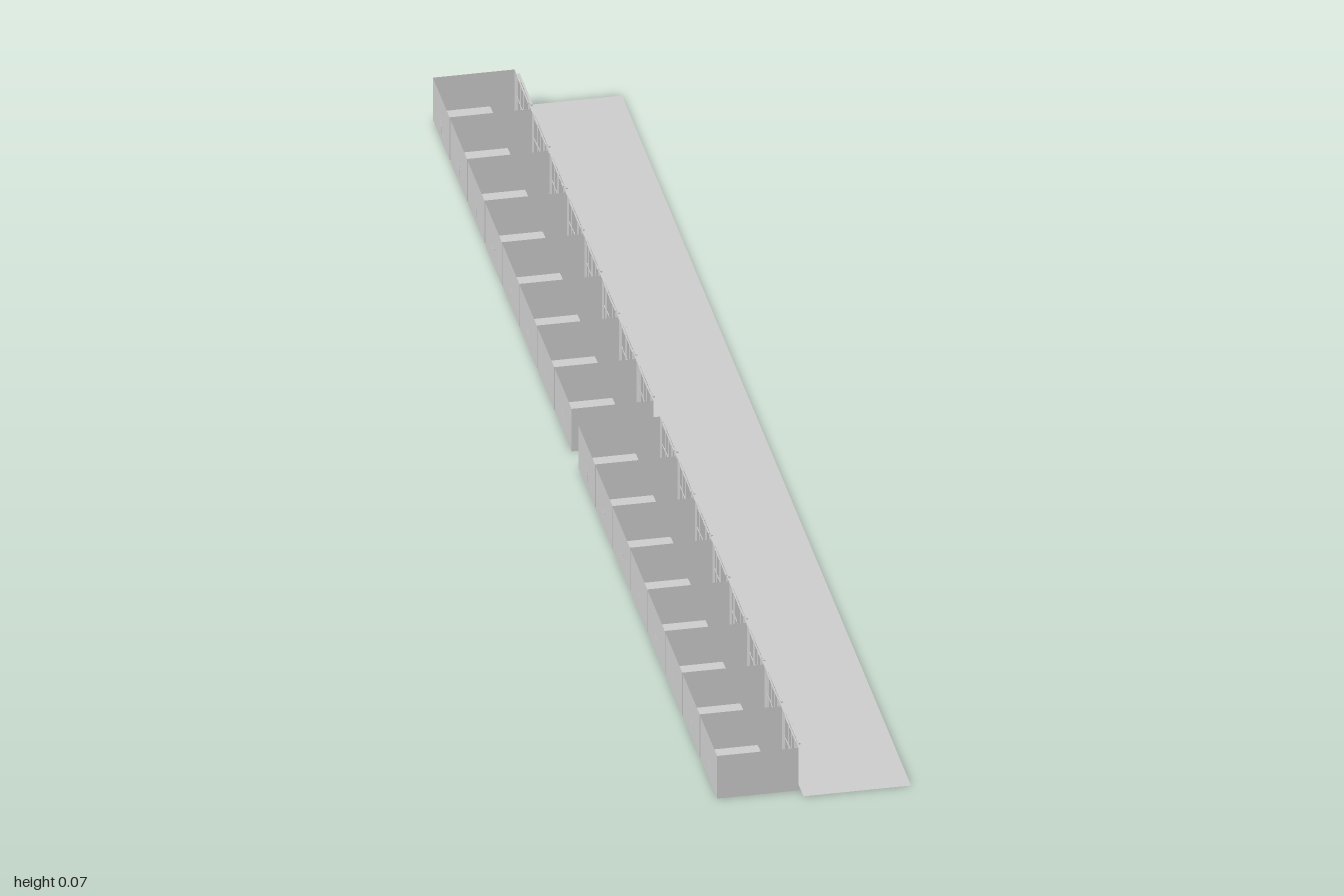
import * as THREE from 'three';

const material = new THREE.MeshStandardMaterial({ color: 0xcccccc, flatShading: true, side: THREE.DoubleSide });

// Cell dimensions
const BACK = -0.136, FRONT = -0.02, HEIGHT = 0.068, WIDTH = 0.115, PITCH = 0.1207;
const DEPTH = FRONT - BACK, MID = (FRONT + BACK) / 2;

function add(parent, name, geometry, x, y, z, rx = 0, ry = 0, rz = 0) {
  const mesh = new THREE.Mesh(geometry, material);
  mesh.name = name;
  mesh.position.set(x, y, z);
  mesh.rotation.set(rx, ry, rz);
  parent.add(mesh);
  return mesh;
}
const box = (w, h, d) => new THREE.BoxGeometry(w, h, d);

// Shared geometries
const floorGeo = new THREE.PlaneGeometry(DEPTH, WIDTH);
const sideGeo = new THREE.PlaneGeometry(DEPTH, HEIGHT);
const backGeo = new THREE.PlaneGeometry(WIDTH, HEIGHT);
const pierGeo = new THREE.PlaneGeometry(0.018, HEIGHT);
const barGeo = new THREE.CylinderGeometry(0.0007, 0.0007, HEIGHT, 6, 1, true);

// Vertical bars tied together by flat rails, centred on z
function makeGrille(name, x, z, width, count, railHeights) {
  const grille = new THREE.Group();
  grille.name = name;
  for (let i = 0; i < count; i++) {
    add(grille, 'bar', barGeo, x, HEIGHT / 2, z - width / 2 + (width * i) / (count - 1));
  }
  for (const y of railHeights) add(grille, 'rail', box(0.0016, 0.002, width), x, y, z);
  return grille;
}

// Low bunk along the side wall
function makeBed() {
  const bed = new THREE.Group();
  bed.name = 'bed';
  add(bed, 'frame', box(0.07, 0.002, 0.033), -0.089, 0.011, -0.039);
  add(bed, 'mattress', box(0.067, 0.003, 0.03), -0.089, 0.0135, -0.039);
  add(bed, 'pillow', box(0.011, 0.002, 0.02), -0.115, 0.016, -0.039);
  for (const x of [-0.123, -0.055]) {
    for (const z of [-0.0545, -0.0235]) add(bed, 'leg', box(0.002, 0.011, 0.002), x, 0.0055, z);
  }
  return bed;
}

// Toilet with a wash unit against the back wall
function makeToilet() {
  const toilet = new THREE.Group();
  toilet.name = 'toilet';
  const profile = [[0.003, 0], [0.003, 0.004], [0.006, 0.011], [0.006, 0.012], [0.0045, 0.012], [0.002, 0.007], [0, 0.007]]
    .map(([r, y]) => new THREE.Vector2(r, y));
  add(toilet, 'bowl', new THREE.LatheGeometry(profile, 12), -0.123, 0, -0.002).scale.x = 1.25;
  add(toilet, 'tank', box(0.006, 0.012, 0.013), -0.1332, 0.017, -0.002);
  add(toilet, 'basin', box(0.008, 0.003, 0.014), -0.1322, 0.0265, -0.002);
  return toilet;
}

function makeCell(z) {
  const cell = new THREE.Group();
  cell.name = 'cell';
  cell.position.z = z;
  add(cell, 'cellFloor', floorGeo, MID, 0.0005, 0, -Math.PI / 2);
  add(cell, 'backWall', backGeo, BACK, HEIGHT / 2, 0, 0, -Math.PI / 2);
  for (const s of [-1, 1]) {
    add(cell, 'sideWall', sideGeo, MID, HEIGHT / 2, s * WIDTH / 2);
    add(cell, 'frontPier', pierGeo, FRONT, HEIGHT / 2, s * (WIDTH / 2 - 0.009), 0, Math.PI / 2);
  }
  // Fixed bars, sliding door and the track it hangs on
  cell.add(makeGrille('fixedBars', FRONT, 0, 0.078, 14, [0.002, 0.034, 0.067]));
  cell.add(makeGrille('slidingDoor', -0.0155, -0.012, 0.044, 8, [0.002, 0.032, 0.064]));
  add(cell, 'lockPlate', box(0.0025, 0.009, 0.007), -0.0155, 0.031, 0.007);
  add(cell, 'doorTrack', box(0.003, 0.002, 0.09), -0.0165, 0.067, 0);
  cell.add(makeBed(), makeToilet());
  return cell;
}

// Small folding seat with slanted struts on the shared wall outside two cells
function makeWallSeat(z) {
  const seat = new THREE.Group();
  seat.name = 'wallSeat';
  seat.position.z = z;
  add(seat, 'seatBoard', box(0.015, 0.0015, 0.035), -0.0095, 0.0135, 0);
  for (const s of [-1, 1]) {
    add(seat, 'upperStrut', box(0.0175, 0.001, 0.001), -0.0105, 0.0205, s * 0.016, 0, 0, -0.9);
    add(seat, 'lowerStrut', box(0.0125, 0.001, 0.001), -0.0125, 0.0085, s * 0.016, 0, 0, 0.75);
  }
  return seat;
}

export function createModel() {
  const model = new THREE.Group();
  model.name = 'cellBlock';

  // Long walkway in front of the cells
  add(model, 'walkway', new THREE.PlaneGeometry(0.153, 2), 0.0595, 0, 0, -Math.PI / 2);

  // Two rows of eight cells, with a gap in the middle
  for (const start of [-0.9265, 0.0795]) {
    for (let i = 0; i < 8; i++) {
      const z = start + i * PITCH;
      model.add(makeCell(z));
      if (i % 2 === 0) model.add(makeWallSeat(z + PITCH / 2 - 0.012));
    }
  }
  return model;
}
